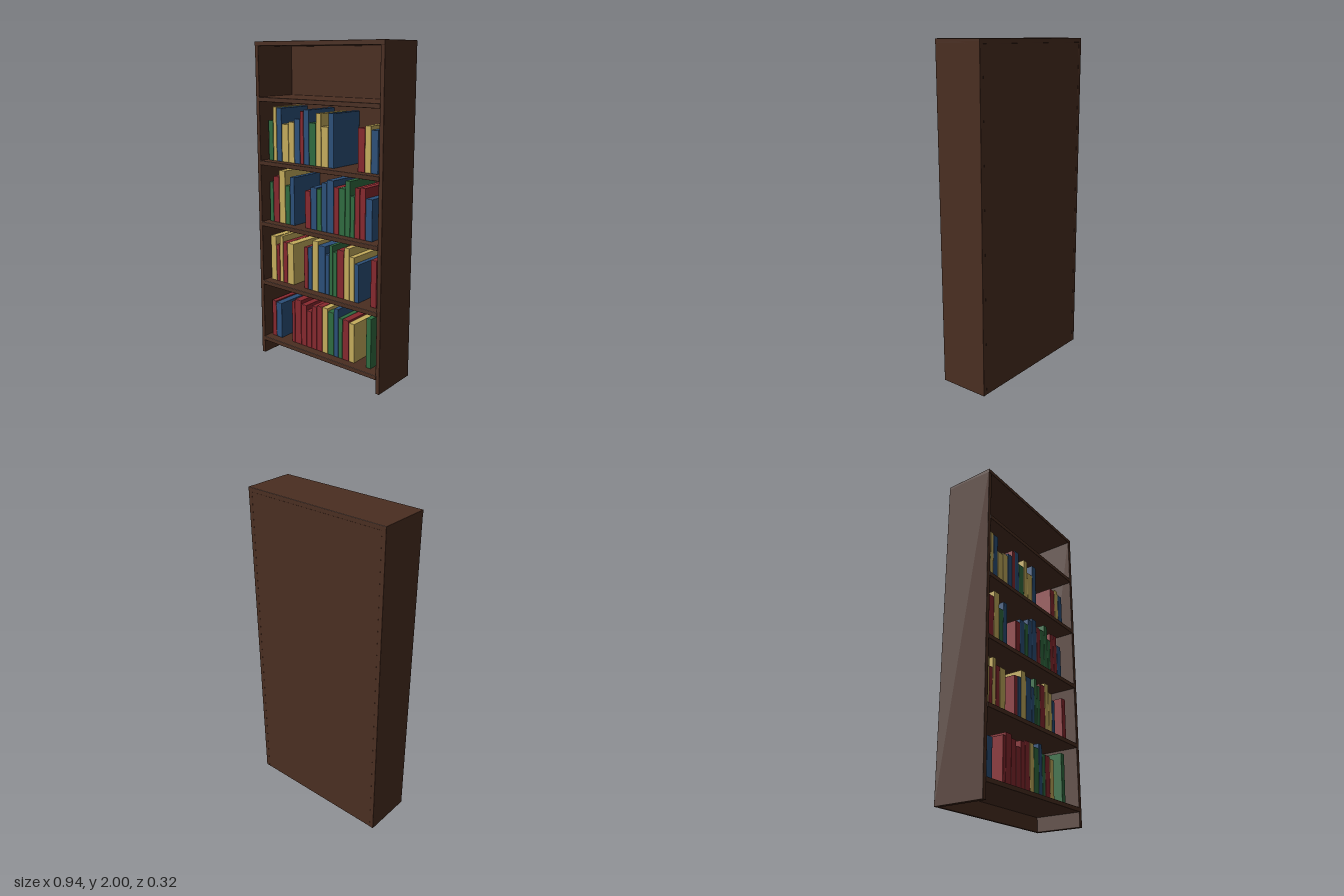
import * as THREE from 'three';
import { RoundedBoxGeometry } from 'three/addons/geometries/RoundedBoxGeometry.js';

const mat = (color) => new THREE.MeshStandardMaterial({ color });
const wood = mat(0x4a2e21);
const cover = { r: mat(0x86282e), g: mat(0x2f6b40), b: mat(0x2b4f78), y: mat(0xc4ac5c) };

// Books per shelf, bottom up: runs of [cover, width, height] starting at x (thousandths)
const SHELVES = [
  { y: 0.115, runs: [
    { x: -420, books: [['r', 37, 244], ['b', 48, 238]] },
    { x: -246, books: [['r', 26, 276], ['r', 53, 297], ['r', 45, 276], ['r', 42, 244], ['r', 42, 286], ['r', 45, 297],
      ['y', 42, 297], ['g', 50, 281], ['b', 34, 313], ['g', 32, 260], ['r', 48, 260], ['y', 42, 249]] },
    { x: 340, books: [['g', 37, 313]] },
  ] },
  { y: 0.504, runs: [
    { x: -420, books: [['y', 48, 294], ['r', 29, 241], ['y', 29, 305], ['r', 37, 268], ['y', 53, 268]] },
    { x: -140, books: [['r', 34, 268], ['b', 34, 273], ['y', 48, 321], ['b', 55, 299], ['b', 32, 252], ['g', 26, 315],
      ['g', 32, 278], ['r', 53, 299], ['y', 40, 321], ['y', 37, 273], ['b', 32, 236]] },
    { x: 367, books: [['r', 42, 284]] },
  ] },
  { y: 0.894, runs: [
    { x: -420, books: [['g', 32, 254], ['r', 50, 292], ['y', 50, 334], ['g', 40, 244], ['b', 37, 302]] },
    { x: -127, books: [['r', 45, 233], ['b', 48, 260], ['g', 37, 254], ['b', 42, 297], ['b', 50, 318], ['r', 40, 281],
      ['g', 45, 281], ['g', 37, 329], ['g', 32, 244], ['r', 37, 297], ['r', 40, 302], ['b', 48, 244]] },
  ] },
  { y: 1.284, runs: [
    { x: -420, books: [['g', 40, 247], ['y', 29, 331], ['b', 42, 326], ['y', 55, 231], ['y', 47, 247], ['b', 45, 268],
      ['r', 29, 315], ['b', 42, 326], ['g', 53, 252], ['y', 40, 310], ['y', 53, 236], ['b', 42, 315]] },
    { x: 267, books: [['r', 50, 247], ['y', 42, 262], ['b', 48, 241]] },
  ] },
  { y: 1.673, runs: [] },
];

// Softly eased block between two corners
function block(parent, name, material, [x0, y0, z0], [x1, y1, z1], radius = 0.003) {
  const geometry = new RoundedBoxGeometry(x1 - x0, y1 - y0, z1 - z0, 1, radius);
  const mesh = new THREE.Mesh(geometry, material);
  mesh.name = name;
  mesh.position.set((x0 + x1) / 2, (y0 + y1) / 2, (z0 + z1) / 2);
  parent.add(mesh);
}

export function createModel() {
  const bookcase = new THREE.Group();
  bookcase.name = 'bookcase';
  const W = 0.472, T = 0.027, BACK = -0.158, FRONT = 0.154;

  // Carcass
  block(bookcase, 'leftSide', wood, [W - T, 0, BACK], [W, 1.99, FRONT]);
  block(bookcase, 'rightSide', wood, [-W, 0, BACK], [-W + T, 1.99, FRONT]);
  block(bookcase, 'topPanel', wood, [-W, 2 - T, BACK], [W, 2, FRONT + 0.002]);
  block(bookcase, 'backPanel', wood, [-W + 0.01, 0, BACK + 0.001], [W - 0.01, 1.99, BACK + 0.016]);

  // Shelves stand slightly proud of the sides, each with its books
  for (const { y, runs } of SHELVES) {
    block(bookcase, 'shelf', wood, [-W + T - 0.005, y - T, BACK + 0.004], [W - T + 0.005, y, 0.158]);
    const row = new THREE.Group();
    row.name = 'bookRow';
    for (const run of runs) {
      let x = run.x / 1000;
      for (const [key, width, height] of run.books) {
        const next = x + width / 1000;
        block(row, 'book', cover[key], [x, y, -0.14], [next - 0.002, y + height / 1000, 0.105], 0.002);
        x = next;
      }
    }
    if (runs.length) bookcase.add(row);
  }
  return bookcase;
}
